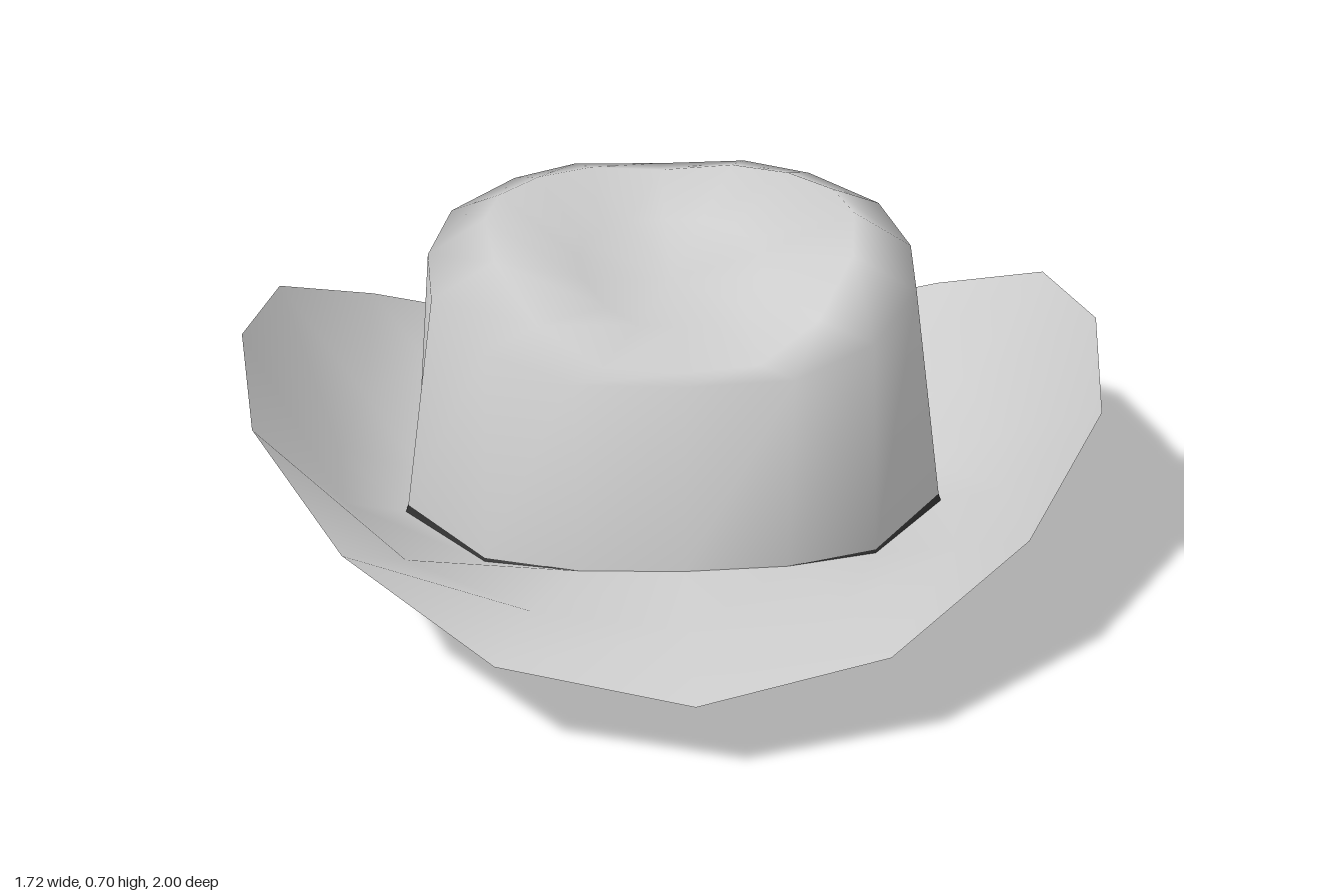
import * as THREE from 'three';

// Mirror a half ring (listed from back to front on the left side) into a closed 16-point ring
const ring = (half) => [
  ...half,
  ...half.slice(1, -1).reverse().map(([x, y, z]) => [-x, y, z]),
];

// Smooth surface through a list of closed rings, optionally closed by a centre point
function loft(name, halves, material, centre) {
  const rings = halves.map(ring);
  const n = rings[0].length;
  const points = rings.flat();
  const index = [];
  for (let r = 0; r < rings.length - 1; r++) {
    for (let k = 0; k < n; k++) {
      const j = (k + 1) % n;
      const a = r * n + k, b = r * n + j, c = a + n, d = b + n;
      index.push(a, c, b, b, c, d);
    }
  }
  if (centre) {
    const base = (rings.length - 1) * n;
    points.push(centre);
    for (let k = 0; k < n; k++) index.push(base + k, points.length - 1, base + (k + 1) % n);
  }
  const geometry = new THREE.BufferGeometry();
  geometry.setAttribute('position', new THREE.Float32BufferAttribute(points.flat(), 3));
  geometry.setIndex(index);
  geometry.computeVertexNormals();
  const mesh = new THREE.Mesh(geometry, material);
  mesh.name = name;
  return mesh;
}

// Brim: outer edge, fold line and head opening
const brimEdge = [
  [0, 0, -1], [0.35, 0.08, -0.92], [0.63, 0.25, -0.68], [0.81, 0.42, -0.35], [0.86, 0.485, 0.03],
  [0.82, 0.44, 0.37], [0.64, 0.33, 0.68], [0.36, 0.22, 0.91], [0, 0.18, 1],
];
const brimFold = [
  [0, 0.03, -0.83], [0.28, 0.06, -0.76], [0.5, 0.12, -0.56], [0.64, 0.19, -0.3], [0.68, 0.21, 0],
  [0.66, 0.21, 0.24], [0.53, 0.22, 0.5], [0.29, 0.22, 0.71], [0, 0.21, 0.78],
];
const brimOpening = [
  [0, 0.05, -0.67], [0.12, 0.055, -0.62], [0.24, 0.07, -0.53], [0.48, 0.12, -0.3], [0.52, 0.14, -0.03],
  [0.54, 0.15, 0.17], [0.38, 0.18, 0.44], [0.2, 0.21, 0.54], [0, 0.22, 0.57],
];

// Crown: base, shoulder and ridge around the pinched top
const crownBase = [
  [0, 0.15, -0.575], [0.13, 0.15, -0.565], [0.24, 0.16, -0.53], [0.47, 0.17, -0.3], [0.52, 0.17, -0.03],
  [0.535, 0.165, 0.17], [0.38, 0.185, 0.435], [0.2, 0.21, 0.54], [0, 0.22, 0.57],
];
const crownShoulder = [
  [0, 0.615, -0.52], [0.18, 0.63, -0.49], [0.31, 0.64, -0.39], [0.44, 0.64, -0.22], [0.485, 0.63, -0.02],
  [0.475, 0.62, 0.18], [0.37, 0.61, 0.4], [0.21, 0.595, 0.52], [0, 0.59, 0.53],
];
const crownRidge = [
  [0, 0.62, -0.47], [0.15, 0.645, -0.43], [0.26, 0.67, -0.32], [0.34, 0.69, -0.18], [0.37, 0.7, -0.03],
  [0.35, 0.69, 0.16], [0.27, 0.63, 0.33], [0.15, 0.59, 0.44], [0, 0.585, 0.46],
];
// Dent: the ridge drawn inwards and pressed down
const crownDent = crownRidge.map(([x, y, z]) => [x * 0.5, 0.585 + (y - 0.585) * 0.3, z * 0.55]);

export function createModel() {
  const felt = new THREE.MeshStandardMaterial({ color: 0xd0d0d0, side: THREE.DoubleSide });
  felt.name = 'light grey felt';
  const bandDark = new THREE.MeshStandardMaterial({ color: 0x333333, side: THREE.DoubleSide });
  bandDark.name = 'dark band';

  const hat = new THREE.Group();
  hat.name = 'hat';
  hat.add(
    loft('brim', [brimEdge, brimFold, brimOpening], felt),
    loft('band', [brimOpening, crownBase], bandDark),
    loft('crown', [crownBase, crownShoulder, crownRidge, crownDent], felt, [0, 0.575, 0]),
  );
  return hat;
}
